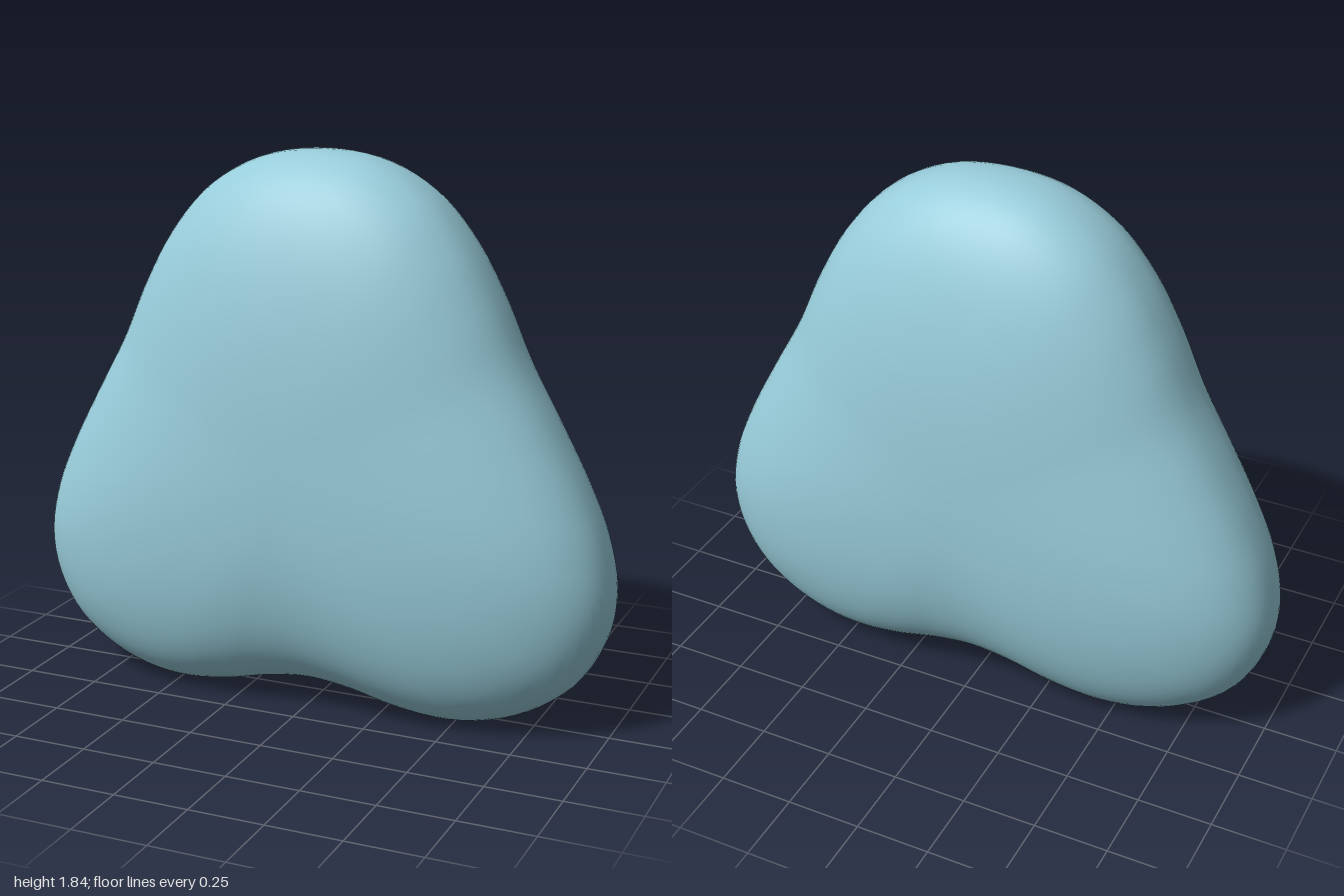
import * as THREE from 'three';

const CENTRE_Y = 0.85;   // middle of the pillow
const HALF_DEPTH = 0.37;
const ROUNDNESS = 2.4;   // superellipse exponent of the cross-section
const SIDES = 144;
const RINGS = 48;

// Right half of the three-lobed outline, from top to bottom notch
const HALF = [
  [0, 1.84], [0.2, 1.812], [0.37, 1.72], [0.5, 1.575], [0.6, 1.4], [0.69, 1.2],
  [0.8, 1.0], [0.9, 0.81], [0.97, 0.64], [1.0, 0.47], [0.975, 0.32], [0.895, 0.18],
  [0.76, 0.075], [0.62, 0.02], [0.48, 0.002], [0.32, 0.018], [0.15, 0.056], [0, 0.072],
];

function outline() {
  const left = HALF.slice(1, -1).reverse().map(([x, y]) => [-x, y]);
  const points = [...HALF, ...left].map(([x, y]) => new THREE.Vector3(x, y - CENTRE_Y, 0));
  return new THREE.CatmullRomCurve3(points, true, 'centripetal').getSpacedPoints(SIDES).slice(0, SIDES);
}

// Scaled copies of the outline stacked from back to front, closed by a pole at each end
function pillowGeometry() {
  const rim = outline();
  const positions = [];
  const index = [];
  const power = 2 / ROUNDNESS;

  for (let j = 1; j < RINGS; j++) {
    const v = (j / RINGS - 0.5) * Math.PI;
    const scale = Math.pow(Math.cos(v), power);
    const z = Math.sign(v) * HALF_DEPTH * Math.pow(Math.abs(Math.sin(v)), power);
    for (const p of rim) positions.push(p.x * scale, p.y * scale + CENTRE_Y, z);
  }
  const back = positions.length / 3;
  const front = back + 1;
  positions.push(0, CENTRE_Y, -HALF_DEPTH, 0, CENTRE_Y, HALF_DEPTH);

  const last = (RINGS - 2) * SIDES;
  for (let i = 0; i < SIDES; i++) {
    const n = (i + 1) % SIDES;
    for (let row = 0; row < last; row += SIDES) {
      const a = row + i, b = row + n, c = a + SIDES, d = b + SIDES;
      index.push(a, c, b, b, c, d);
    }
    index.push(back, i, n, front, last + n, last + i);
  }

  const geometry = new THREE.BufferGeometry();
  geometry.setAttribute('position', new THREE.Float32BufferAttribute(positions, 3));
  geometry.setIndex(index);
  geometry.computeVertexNormals();
  return geometry;
}

export function createModel() {
  const group = new THREE.Group();
  group.name = 'threeLobedPillow';
  const body = new THREE.Mesh(pillowGeometry(), new THREE.MeshStandardMaterial({ color: 0x98ccda }));
  body.name = 'body';
  group.add(body);
  return group;
}
